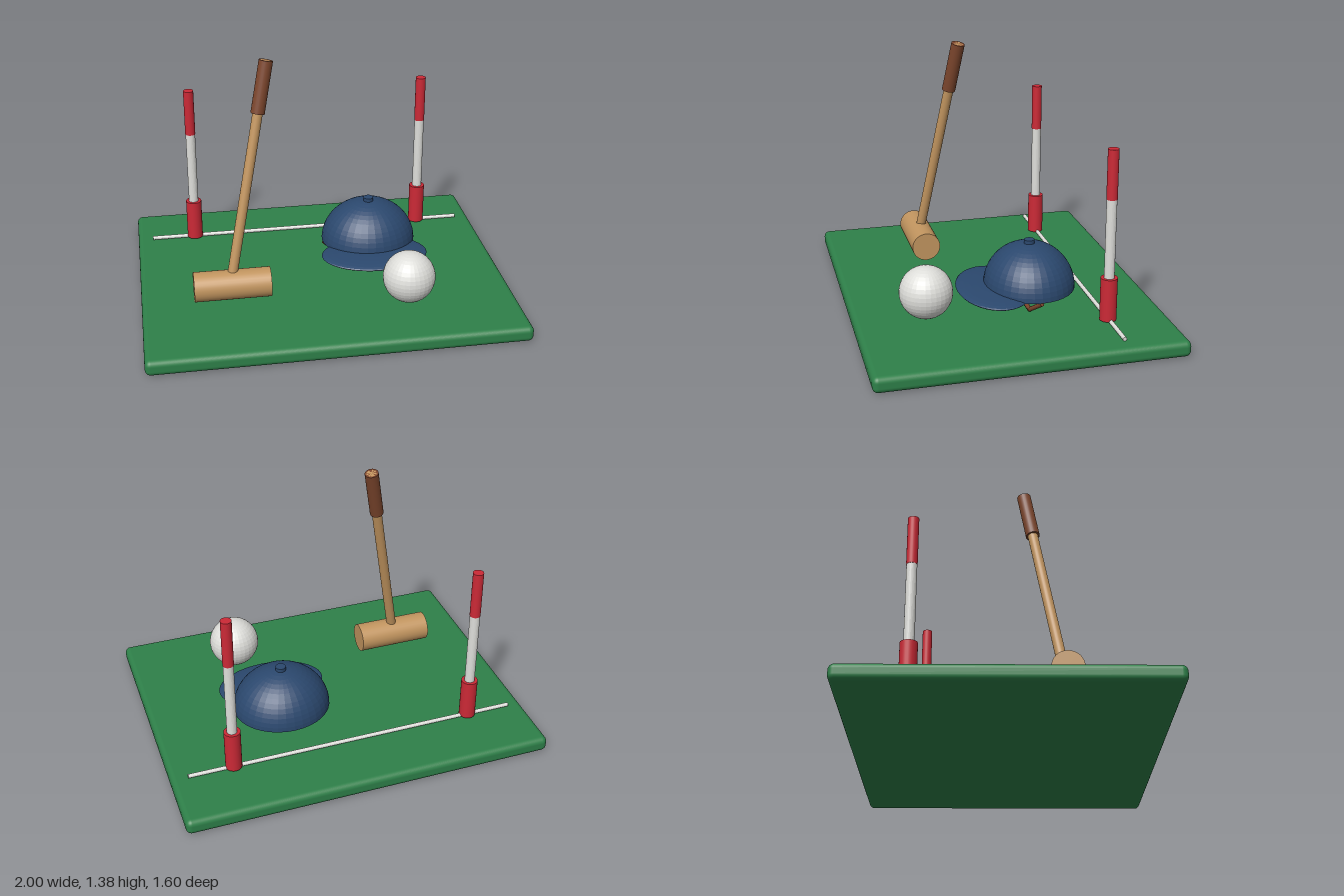
import * as THREE from 'three';
import { RoundedBoxGeometry } from 'three/addons/geometries/RoundedBoxGeometry.js';

const V = (x, y, z) => new THREE.Vector3(x, y, z);

function material(name, color, extra = {}) {
  const m = new THREE.MeshStandardMaterial({ color, ...extra });
  m.name = name;
  return m;
}

export function createModel() {
  const turf = material('turf green', 0x2e8049);
  const red = material('post red', 0xcc2936);
  const white = material('chalk white', 0xdededa, { flatShading: true });
  const wood = material('light wood', 0xc2955f);
  const leather = material('brown leather', 0x7b452c);
  const navy = material('navy felt', 0x2b486e, { flatShading: true, side: THREE.DoubleSide });

  const model = new THREE.Group();
  const add = (parent, name, geometry, mat, x = 0, y = 0, z = 0) => {
    const mesh = new THREE.Mesh(geometry, mat);
    mesh.name = name;
    mesh.position.set(x, y, z);
    parent.add(mesh);
    return mesh;
  };
  const group = (name) => {
    const g = new THREE.Group();
    g.name = name;
    model.add(g);
    return g;
  };
  // Round bar running from a to b
  const rod = (parent, name, a, b, radius, mat, sides = 24) => {
    const mesh = add(parent, name, new THREE.CylinderGeometry(radius, radius, a.distanceTo(b), sides), mat);
    mesh.position.copy(a).add(b).multiplyScalar(0.5);
    mesh.quaternion.setFromUnitVectors(V(0, 1, 0), b.clone().sub(a).normalize());
    return mesh;
  };

  // Turf board and goal line
  add(model, 'board', new RoundedBoxGeometry(2, 0.085, 1.6, 4, 0.03), turf, 0, 0.0425, 0);
  rod(model, 'goalLine', V(-0.915, 0.098, -0.473), V(0.912, 0.098, -0.473), 0.011, white, 12);

  // Goal posts
  for (const [side, x] of [['left', 0.667], ['right', -0.667]]) {
    const post = group(side + 'GoalPost');
    const z = -0.47;
    rod(post, 'postPadding', V(x, 0.097, z), V(x, 0.328, z), 0.044, red);
    rod(post, 'postShaft', V(x, 0.32, z), V(x, 0.75, z), 0.027, white);
    rod(post, 'postTip', V(x, 0.75, z), V(x, 1.012, z), 0.0285, red);
  }

  // Mallet with leaning handle
  const mallet = group('mallet');
  rod(mallet, 'malletHead', V(-0.72, 0.19, 0.285), V(-0.31, 0.19, 0.285), 0.08, wood, 32);
  const foot = V(-0.522, 0.2, 0.287);
  const tip = V(-0.29, 1.37, 0.094);
  rod(mallet, 'malletShaft', foot, tip, 0.027, wood);
  rod(mallet, 'malletGrip', foot.clone().lerp(tip, 0.77), tip, 0.037, leather);

  // Ball
  add(model, 'ball', new THREE.SphereGeometry(0.14, 32, 20), white, 0.413, 0.236, 0.43);

  // Riding cap: dome, button, brim and chin strap
  const cap = group('ridingCap');
  const dome = add(cap, 'dome',
    new THREE.SphereGeometry(0.243, 36, 14, 0, Math.PI * 2, 0, Math.PI / 2), navy, 0.305, 0.175, -0.15);
  dome.scale.set(1.09, 0.97, 1);
  rod(cap, 'button', V(0.305, 0.395, -0.15), V(0.305, 0.43, -0.15), 0.028, navy);
  const brim = add(cap, 'brim', new THREE.SphereGeometry(1, 36, 14), navy, 0.305, 0.174, 0.047);
  brim.scale.set(0.297, 0.025, 0.195);

  const strap = [
    V(0.045, 0.17, -0.148), V(0.138, 0.104, -0.108),
    V(0.472, 0.104, -0.108), V(0.565, 0.17, -0.148),
  ];
  strap.forEach((p, i) => {
    if (i) rod(cap, 'chinStrap', strap[i - 1], p, 0.012, leather, 10);
  });

  return model;
}
